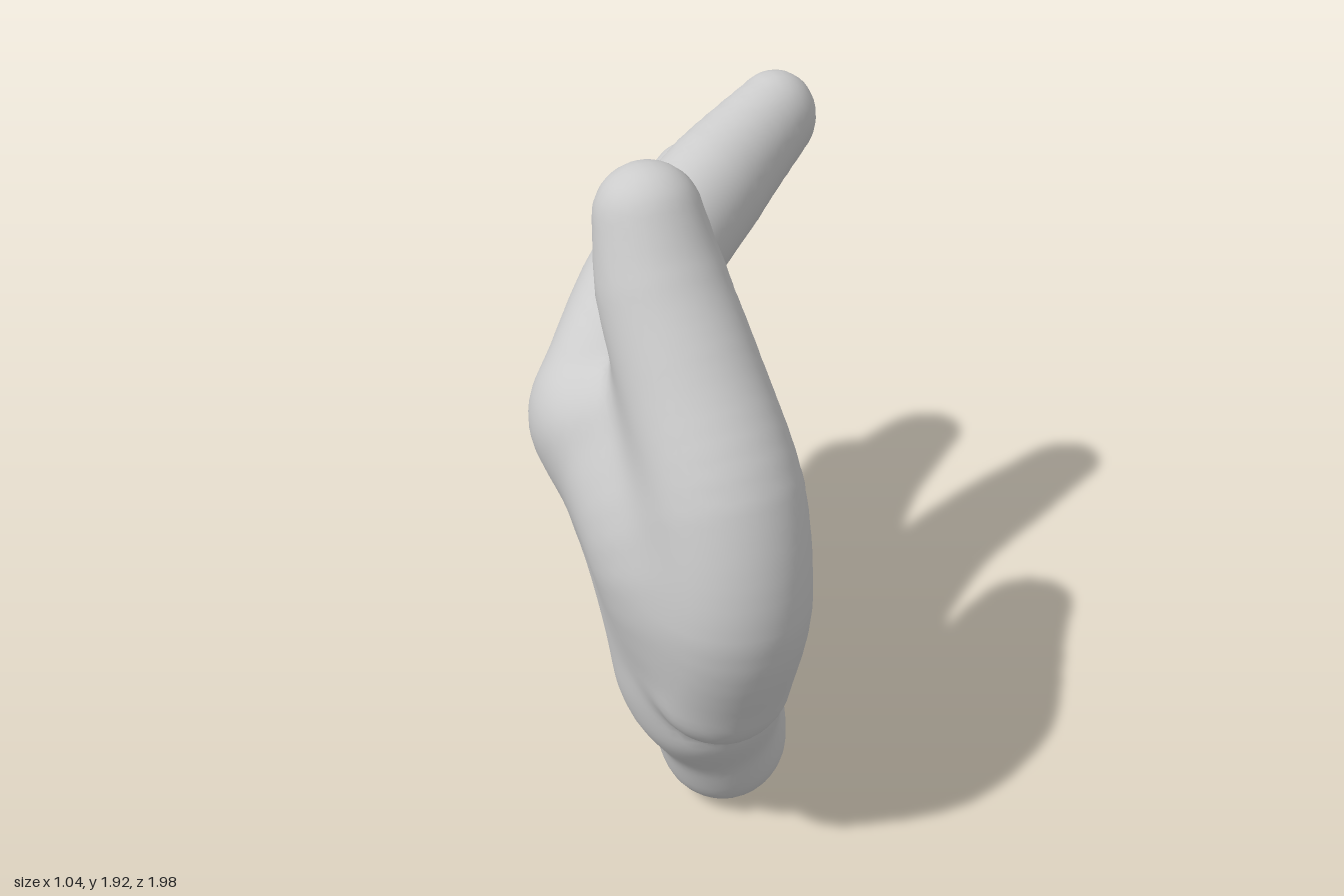
import * as THREE from 'three';
import { mergeVertices } from 'three/addons/utils/BufferGeometryUtils.js';

// Each bone is a curved path of [x, y, z, radius]; the skin is blended over them.
// "flat" thins a finger across its back.
const limbs = [
  { name: 'palm', flat: 1, bones: [
    // heel, thumb side and the web up to the index knuckle
    [[-0.04, 0.17, 0.46, 0.165], [-0.11, 0.42, 0.54, 0.18]],
    [[-0.13, 0.45, 0.55, 0.18], [-0.26, 0.92, 0.57, 0.18], [-0.32, 1.18, 0.36, 0.17]],
    // middle of the palm, fanning out from the heel to the finger roots
    [[-0.04, 0.32, 0.36, 0.165], [0.01, 0.6, -0.05, 0.16]],
    [[-0.09, 0.45, 0.4, 0.165], [-0.09, 0.76, 0.03, 0.16]],
    [[-0.14, 0.5, 0.48, 0.165], [-0.18, 0.96, 0.12, 0.16]],
    [[-0.16, 0.55, 0.5, 0.165], [-0.27, 1.08, 0.24, 0.17], [-0.15, 1.1, 0.04, 0.155]],
  ] },
  { name: 'indexFinger', flat: 0.88, bones: [
    [[-0.31, 1.18, 0.25, 0.2], [-0.08, 1.38, -0.05, 0.185], [0.17, 1.535, -0.235, 0.17], [0.395, 1.655, -0.372, 0.135]],
  ] },
  { name: 'middleFinger', flat: 0.94, bones: [
    [[-0.16, 0.82, 0.1, 0.18], [-0.08, 0.935, -0.2, 0.19], [0.06, 1.08, -0.54, 0.18], [0.2, 1.195, -0.73, 0.165],
      [0.305, 1.275, -0.833, 0.137]],
  ] },
  { name: 'littleFinger', flat: 0.9, bones: [
    [[-0.03, 0.18, 0.42, 0.17], [0.0, 0.26, 0.2, 0.18], [0.04, 0.4, -0.12, 0.19], [0.18, 0.57, -0.5, 0.182],
      [0.365, 0.78, -0.865, 0.137]],
  ] },
  { name: 'thumb', flat: 1, bones: [
    [[-0.14, 0.6, 0.71, 0.185], [-0.14, 0.88, 0.785, 0.2], [-0.145, 1.15, 0.73, 0.2],
      [-0.18, 1.4, 0.59, 0.18], [-0.215, 1.61, 0.47, 0.163], [-0.23, 1.77, 0.41, 0.135]],
  ] },
];

// Smooth union of two distances
const blend = (a, b, k) => Math.min(a, b) - Math.max(k - Math.abs(a - b), 0) ** 2 / (4 * k);

// Sample each bone into short tapered segments
function prepare({ name, flat, bones }) {
  const paths = bones.map((pts) => {
    const curve = new THREE.CatmullRomCurve3(pts.map((p) => new THREE.Vector3(p[0], p[1], p[2])));
    const n = (pts.length - 1) * (pts.length > 2 ? 5 : 1);
    return Array.from({ length: n + 1 }, (_, i) => {
      const t = (i / n) * (pts.length - 1);
      const s = Math.min(Math.floor(t), pts.length - 2);
      const p = curve.getPoint(i / n);
      return [p.x, p.y, p.z, THREE.MathUtils.lerp(pts[s][3], pts[s + 1][3], t - s)];
    });
  });
  const a = bones[0][0], b = bones[0][bones[0].length - 1];
  const len = Math.hypot(b[0] - a[0], b[2] - a[2]);
  return { name, paths, squash: 1 / flat - 1, nx: (a[2] - b[2]) / len, nz: (b[0] - a[0]) / len };
}

function pathDistance(path, limb, x, y, z) {
  let best = Infinity;
  for (let i = 0; i + 1 < path.length; i++) {
    const a = path[i], b = path[i + 1];
    const ux = b[0] - a[0], uy = b[1] - a[1], uz = b[2] - a[2];
    let t = ((x - a[0]) * ux + (y - a[1]) * uy + (z - a[2]) * uz) / (ux * ux + uy * uy + uz * uz);
    t = Math.min(1, Math.max(0, t));
    let dx = x - a[0] - ux * t, dz = z - a[2] - uz * t;
    const dy = y - a[1] - uy * t;
    const s = (dx * limb.nx + dz * limb.nz) * limb.squash;
    dx += limb.nx * s;
    dz += limb.nz * s;
    best = Math.min(best, Math.sqrt(dx * dx + dy * dy + dz * dz) - a[3] - (b[3] - a[3]) * t);
  }
  return best;
}

const limbDistance = (limb, x, y, z) =>
  limb.paths.reduce((d, path) => blend(d, pathDistance(path, limb, x, y, z), 0.11), 10);

export function createModel() {
  const parts = limbs.map(prepare);
  const field = (x, y, z) => {
    let d = 10;
    for (const limb of parts) {
      // The thumb is creased at its root and melts into the hand higher up
      const k = limb.name === 'thumb' ? 0.03 + 0.12 * THREE.MathUtils.smoothstep(y, 0.42, 0.9) : 0.085;
      d = blend(d, limbDistance(limb, x, y, z), k);
    }
    return d;
  };
  const gradient = (x, y, z, e) => new THREE.Vector3(
    field(x + e, y, z) - field(x - e, y, z),
    field(x, y + e, z) - field(x, y - e, z),
    field(x, y, z + e) - field(x, y, z - e)).divideScalar(2 * e);

  // Sample the field on a grid
  const h = 0.029, min = [-0.7, -0.08, -1.09], size = [46, 71, 76];
  const step = [1, size[0], size[0] * size[1]];
  const values = new Float32Array(size[0] * size[1] * size[2]);
  const eachCell = (lo, hi, visit) => {
    for (let k = lo; k < size[2] - hi; k++)
      for (let j = lo; j < size[1] - hi; j++)
        for (let i = lo; i < size[0] - hi; i++) visit([i, j, k], i + j * step[1] + k * step[2]);
  };
  eachCell(0, 0, (c, id) => { values[id] = field(...c.map((v, a) => min[a] + v * h)); });

  // One skin vertex per cell that the surface crosses
  const points = new Map();
  eachCell(0, 1, (c, id) => {
    const sum = [0, 0, 0];
    let count = 0;
    for (let corner = 0; corner < 8; corner++) {
      const o = [corner & 1, (corner >> 1) & 1, corner >> 2];
      const p = id + o[0] + o[1] * step[1] + o[2] * step[2];
      for (let a = 0; a < 3; a++) {
        const v = values[p], w = values[p + step[a]];
        if (o[a] || (v < 0) === (w < 0)) continue;
        for (let b = 0; b < 3; b++) sum[b] += o[b] + (a === b ? v / (v - w) : 0);
        count++;
      }
    }
    if (!count) return;
    const pos = new THREE.Vector3(...sum.map((s, a) => min[a] + (c[a] + s / count) * h));
    const g = gradient(pos.x, pos.y, pos.z, 0.006);
    pos.addScaledVector(g, -field(pos.x, pos.y, pos.z) / Math.max(g.lengthSq(), 0.5));
    points.set(id, { pos, normal: gradient(pos.x, pos.y, pos.z, 0.03).normalize() });
  });

  // Join the vertices with quads and hand each quad to its nearest part
  const skins = parts.map(() => ({ position: [], normal: [] }));
  eachCell(1, 1, (c, id) => {
    for (let a = 0; a < 3; a++) {
      const inside = values[id] < 0;
      if (inside === (values[id + step[a]] < 0)) continue;
      const b = step[(a + 1) % 3], d = step[(a + 2) % 3];
      const quad = [id, id - b, id - b - d, id - d].map((q) => points.get(q));
      if (!inside) quad.reverse();
      const mid = quad.reduce((m, q) => m.addScaledVector(q.pos, 0.25), new THREE.Vector3());
      const near = parts.map((limb) => limbDistance(limb, mid.x, mid.y, mid.z));
      const skin = skins[near.indexOf(Math.min(...near))];
      for (const i of [0, 1, 2, 0, 2, 3]) {
        skin.position.push(...quad[i].pos.toArray());
        skin.normal.push(...quad[i].normal.toArray());
      }
    }
  });

  const hand = new THREE.Group();
  hand.name = 'hand';
  const material = new THREE.MeshStandardMaterial({ color: 0xcccccc });
  parts.forEach((limb, i) => {
    const geometry = new THREE.BufferGeometry();
    for (const key of ['position', 'normal'])
      geometry.setAttribute(key, new THREE.Float32BufferAttribute(skins[i][key], 3));
    const mesh = new THREE.Mesh(mergeVertices(geometry), material);
    mesh.name = limb.name;
    hand.add(mesh);
  });
  return hand;
}
